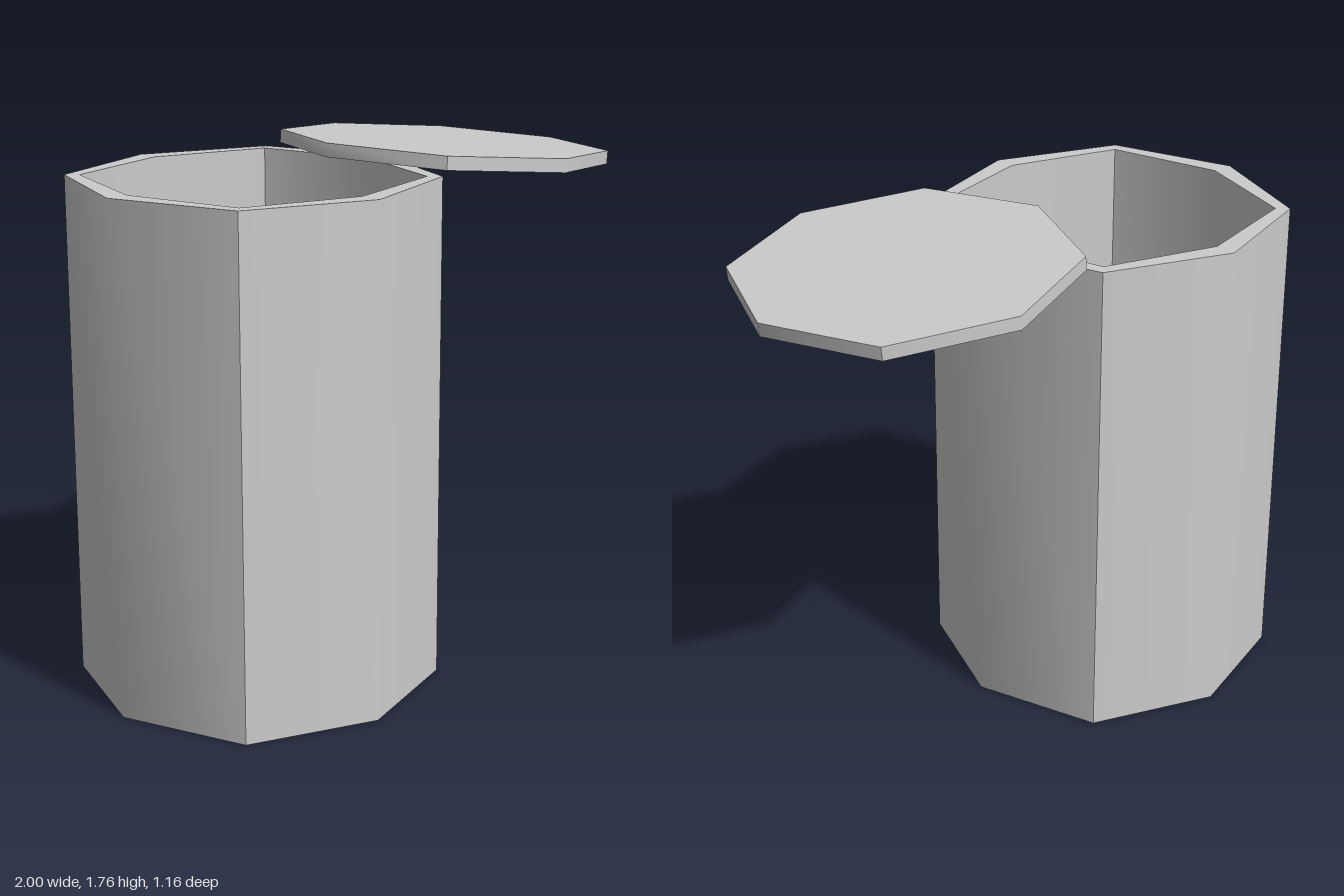
import * as THREE from 'three';
import { toCreasedNormals } from 'three/addons/utils/BufferGeometryUtils.js';

// Eight corners: four on the axes at radius r, four on the diagonals at (d, d)
function octagon(r, d) {
  const points = [];
  for (let i = 0; i < 8; i++) {
    const radius = i % 2 ? d * Math.SQRT2 : r;
    const angle = i * Math.PI / 4;
    points.push(new THREE.Vector2(Math.cos(angle) * radius, Math.sin(angle) * radius));
  }
  return points;
}

// Upright prism from y = 0; only the sharper diagonal corners stay creased
function prism(outer, height, hole) {
  const shape = new THREE.Shape(outer);
  if (hole) shape.holes.push(new THREE.Path(hole));
  const geometry = new THREE.ExtrudeGeometry(shape, { depth: height, bevelEnabled: false });
  geometry.rotateX(-Math.PI / 2);
  return toCreasedNormals(geometry, THREE.MathUtils.degToRad(45));
}

export function createModel() {
  const group = new THREE.Group();
  const material = new THREE.MeshStandardMaterial({ color: 0xcccccc });
  const add = (name, geometry, parent) => {
    const mesh = new THREE.Mesh(geometry, material);
    mesh.name = name;
    parent.add(mesh);
    return mesh;
  };

  // Hollow container
  const container = new THREE.Group();
  container.name = 'container';
  container.position.x = -0.422;
  group.add(container);
  const inner = octagon(0.503, 0.391);
  add('wall', prism(octagon(0.578, 0.426), 1.69, inner), container);
  add('floor', prism(inner, 0.08), container);

  // Lid slid to the side, resting tilted on the rim
  const lidGeometry = prism(octagon(0.555, 0.4), 0.046);
  lidGeometry.translate(0, -0.023, 0);
  const lid = add('lid', lidGeometry, group);
  lid.position.set(0.445, 1.689, 0.004);
  lid.rotation.z = THREE.MathUtils.degToRad(-5);

  return group;
}
